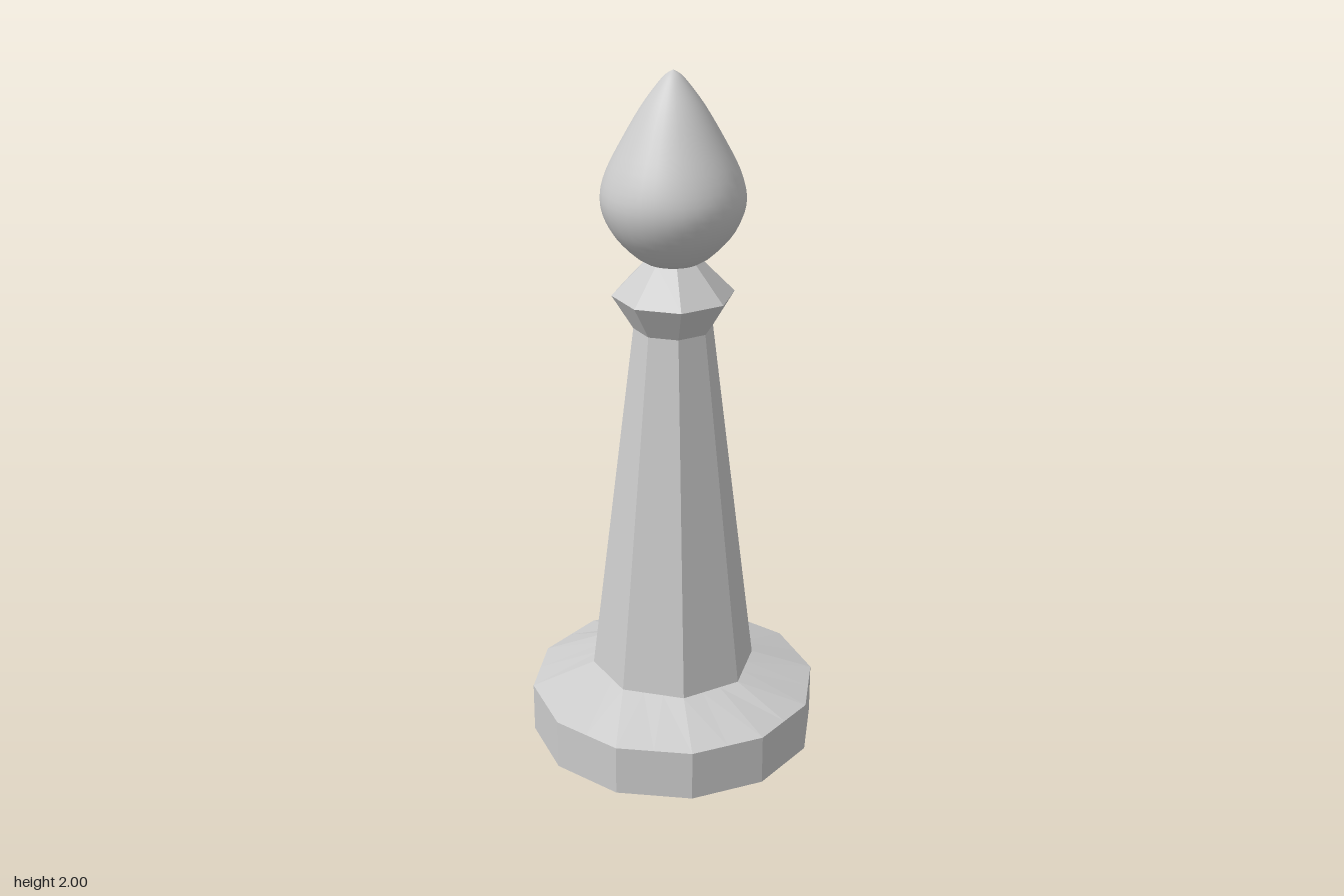
import * as THREE from 'three';

const flat = new THREE.MeshStandardMaterial({ color: 0xcccccc, flatShading: true });
const smooth = new THREE.MeshStandardMaterial({ color: 0xcccccc });

function add(group, name, geometry, material) {
  const mesh = new THREE.Mesh(geometry, material);
  mesh.name = name;
  group.add(mesh);
  return mesh;
}

// Radius of a regular polygon (corner on the +z axis) at a given angle
function polygonRadius(r, sides, angle) {
  const step = (2 * Math.PI) / sides;
  const a = (angle % step) - step / 2;
  return (r * Math.cos(step / 2)) / Math.cos(a);
}

// Sloped skirt that blends one polygon outline into another
function skirtGeometry(lower, upper, segments) {
  const positions = [];
  const index = [];
  for (let i = 0; i <= segments; i++) {
    const a = (i / segments) * 2 * Math.PI;
    for (const { r, sides, y } of [lower, upper]) {
      const d = polygonRadius(r, sides, a);
      positions.push(d * Math.sin(a), y, d * Math.cos(a));
    }
    if (i < segments) {
      const k = i * 2;
      index.push(k, k + 2, k + 1, k + 2, k + 3, k + 1);
    }
  }
  const g = new THREE.BufferGeometry();
  g.setAttribute('position', new THREE.Float32BufferAttribute(positions, 3));
  g.setIndex(index);
  g.computeVertexNormals();
  return g;
}

export function createModel() {
  const model = new THREE.Group();
  model.name = 'finialPost';

  // Twelve-sided plinth
  add(model, 'base', new THREE.CylinderGeometry(0.423, 0.423, 0.15, 12), flat).position.y = 0.075;

  // Slope from the twelve-sided plinth to the eight-sided shaft
  add(model, 'baseSlope', skirtGeometry(
    { r: 0.423, sides: 12, y: 0.15 }, { r: 0.24, sides: 8, y: 0.22 }, 24), flat);

  // Tapered octagonal shaft
  add(model, 'shaft', new THREE.CylinderGeometry(0.112, 0.24, 1.06, 8), flat).position.y = 0.75;

  // Octagonal collar
  const collar = [[0.112, 1.28], [0.172, 1.378], [0.075, 1.478]].map(p => new THREE.Vector2(...p));
  add(model, 'collar', new THREE.LatheGeometry(collar, 8), flat);

  // Smooth teardrop finial
  const profile = new THREE.SplineCurve([
    [0, 1.462], [0.08, 1.475], [0.145, 1.53], [0.185, 1.59], [0.2, 1.655], [0.183, 1.725],
    [0.14, 1.81], [0.088, 1.9], [0.045, 1.96], [0.02, 1.988], [0, 2],
  ].map(p => new THREE.Vector2(...p)));
  const points = profile.getPoints(30);
  points.forEach(p => { p.x = Math.max(p.x, 0); });
  add(model, 'finial', new THREE.LatheGeometry(points, 32), smooth);

  return model;
}
